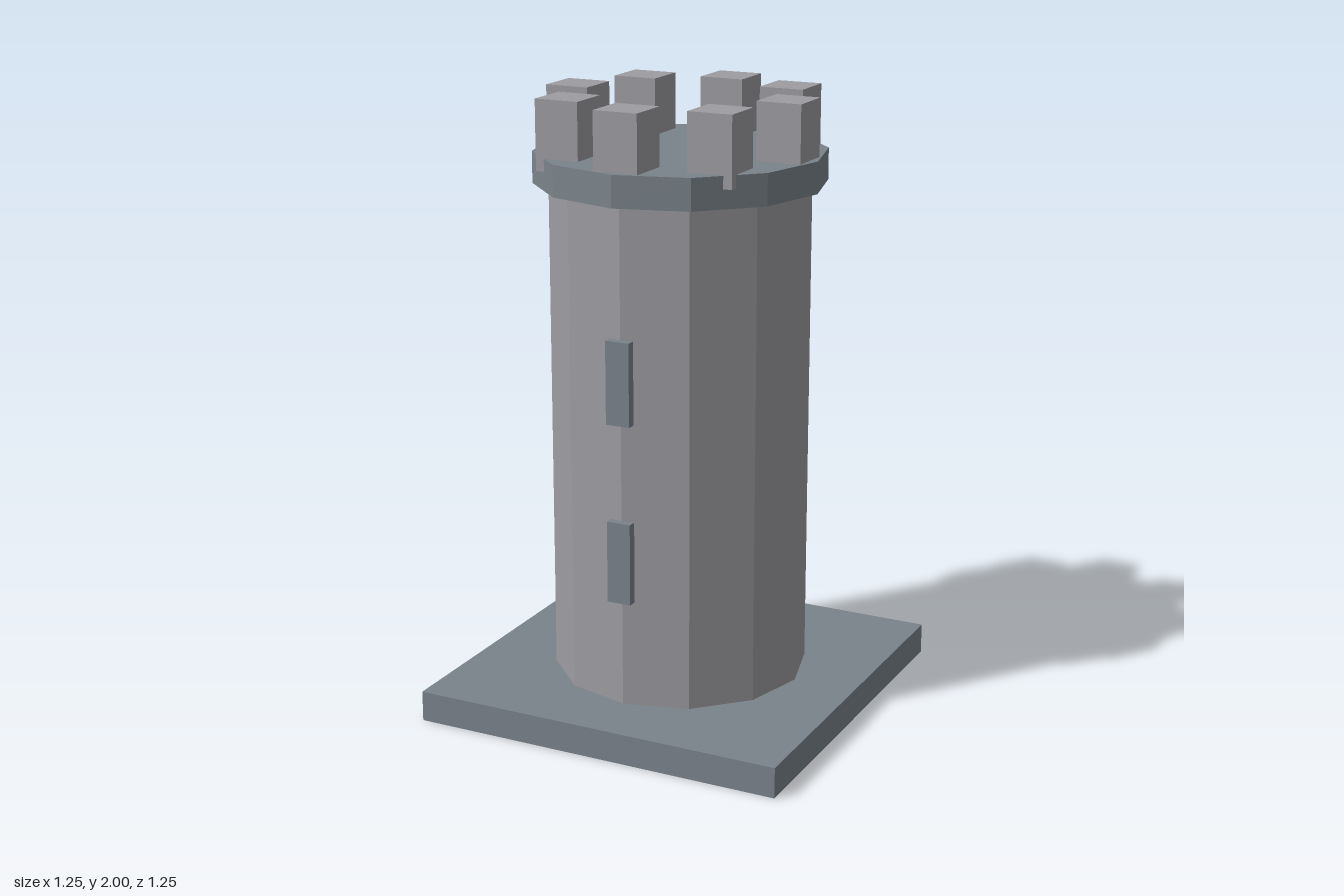
import * as THREE from 'three';

export function createModel() {
  const tower = new THREE.Group();
  tower.name = 'castleTower';

  const stone = new THREE.MeshStandardMaterial({ color: 0x9d9da2, flatShading: true });
  stone.name = 'lightStone';
  const slate = new THREE.MeshStandardMaterial({ color: 0x7b838b, flatShading: true });
  slate.name = 'slateStone';

  // Adds a part spanning the heights y0 to y1
  const add = (name, geometry, material, x, y0, y1, z) => {
    const mesh = new THREE.Mesh(geometry, material);
    mesh.name = name;
    mesh.position.set(x, (y0 + y1) / 2, z);
    tower.add(mesh);
  };
  const box = (name, material, w, d, x, y0, y1, z) =>
    add(name, new THREE.BoxGeometry(w, y1 - y0, d), material, x, y0, y1, z);
  const drum = (name, material, r, y0, y1) =>
    add(name, new THREE.CylinderGeometry(r, r, y1 - y0, 12), material, 0, y0, y1, 0);

  // Square foundation, twelve-sided shaft and overhanging platform
  box('foundation', slate, 1.245, 1.245, 0, 0, 0.1, 0);
  drum('shaft', stone, 0.415, 0.1, 1.716);
  drum('platform', slate, 0.465, 1.716, 1.817);

  // Eight square merlons, all aligned with the axes and sunk into the platform
  for (let i = 0; i < 8; i++) {
    const a = (i * Math.PI) / 4;
    box('merlon', stone, 0.147, 0.147, 0.365 * Math.sin(a), 1.777, 2, 0.365 * Math.cos(a));
  }

  // Two slit windows on the front
  box('lowerWindow', slate, 0.08, 0.03, 0, 0.45, 0.716, 0.422);
  box('upperWindow', slate, 0.08, 0.03, 0, 1.032, 1.299, 0.422);

  return tower;
}
